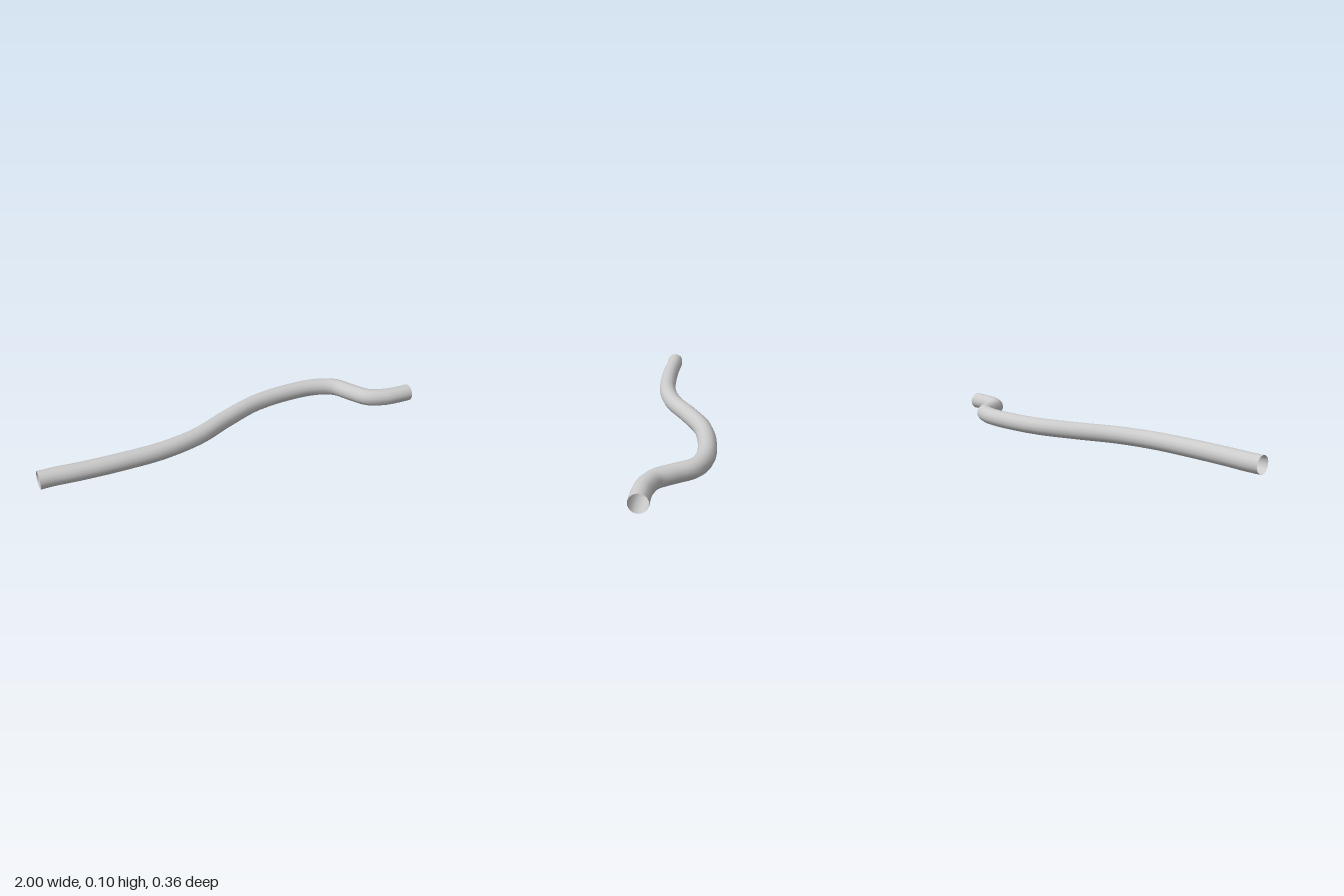
import * as THREE from 'three';

// Centreline in plan: x, z
const PATH = [
  [-1, 0.055], [-0.93, 0.057], [-0.8, 0.07], [-0.6, 0.08], [-0.4, 0.077], [-0.2, 0.038],
  [0, -0.045], [0.2, -0.115], [0.42, -0.137], [0.58, -0.122], [0.67, -0.08],
  [0.725, 0.01], [0.775, 0.085], [0.86, 0.122], [0.95, 0.133], [1, 0.135],
];
const RADIUS = 0.044;

export function createModel() {
  const group = new THREE.Group();
  group.name = 'bentPipe';

  // The pipe leans slightly: it rises towards the back
  const points = PATH.map(([x, z]) =>
    new THREE.Vector3(x, RADIUS + 0.001 + (0.135 - z) * 0.036, z));
  const curve = new THREE.CatmullRomCurve3(points, false, 'centripetal');

  // Hollow, open-ended tube
  const pipe = new THREE.Mesh(
    new THREE.TubeGeometry(curve, 96, RADIUS, 14, false),
    new THREE.MeshStandardMaterial({ color: 0xcccccc, side: THREE.DoubleSide }),
  );
  pipe.name = 'pipe';
  group.add(pipe);
  return group;
}
